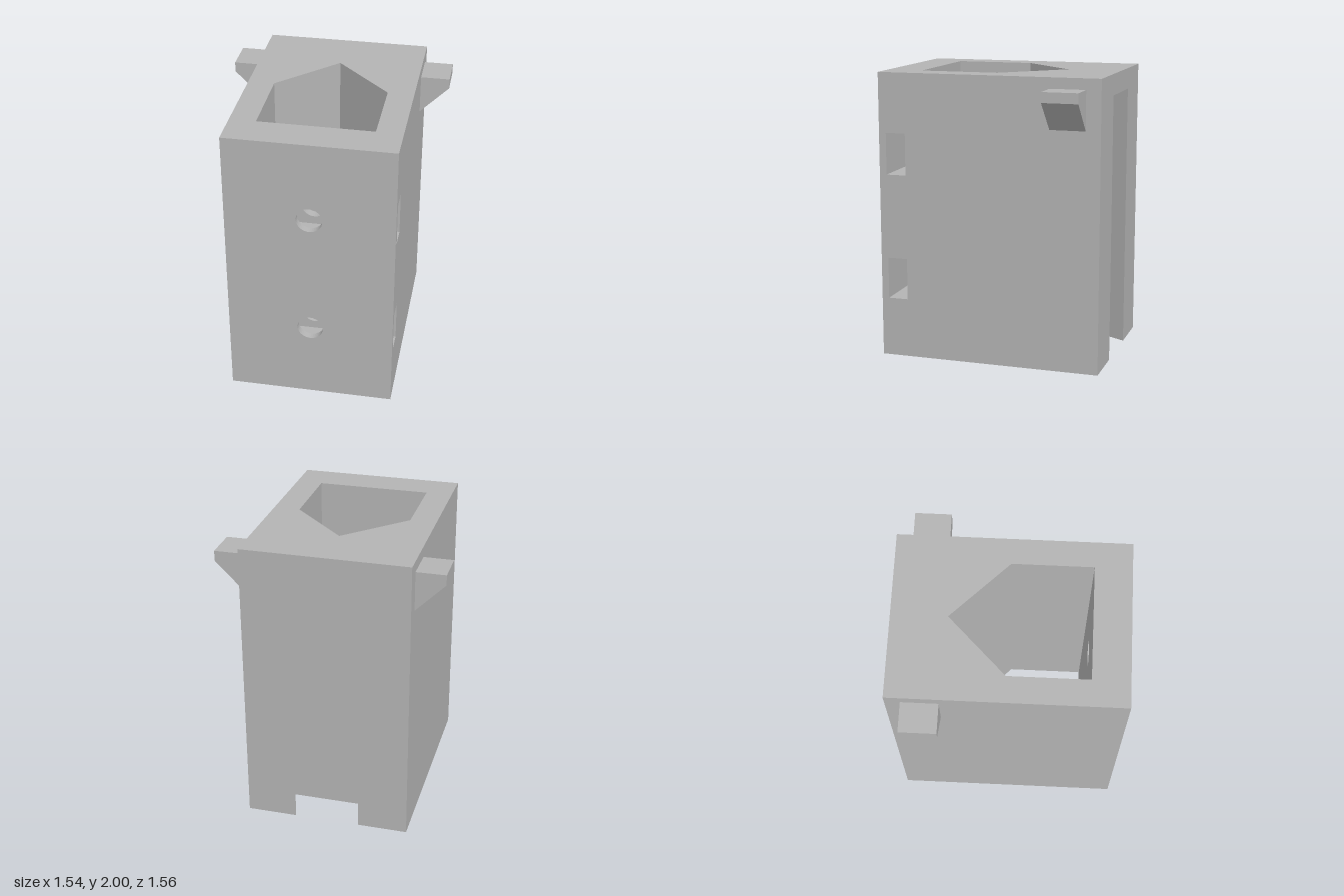
import * as THREE from 'three';
import { mergeGeometries } from 'three/addons/utils/BufferGeometryUtils.js';

const W = 0.57, D = 0.78, H = 2;            // half width, half depth, height
const SLOT_TOP = 1.855, SLOT_Z = -0.535;    // dovetail slot at the back
const BORE_R = 0.088, BORE_Y = [0.56, 1.44];
const PZ0 = 0.59, PZ1 = 0.73, PX = -0.145, PH = 0.145; // side pockets

const V = (x, y, z) => new THREE.Vector3(x, y, z);
const X = V(1, 0, 0), Z = V(0, 0, 1);
const toV2 = (pts) => pts.map(([x, y]) => new THREE.Vector2(x, y));

// Flat panel: 2D outline and holes laid on axes u and v, facing u x v
function panel(origin, u, v, outline, holes = []) {
  const shape = new THREE.Shape(toV2(outline));
  holes.forEach((h) => shape.holes.push(new THREE.Path(toV2(h))));
  const m = new THREE.Matrix4().makeBasis(u, v, u.clone().cross(v)).setPosition(origin);
  return new THREE.ShapeGeometry(shape).applyMatrix4(m);
}

// Rectangular wall from p to q, swept along e
function wall(p, q, e, holes) {
  const d = q.clone().sub(p), w = d.length(), h = e.length();
  return panel(p, d.normalize(), e.clone().normalize(), [[0, 0], [w, 0], [w, h], [0, h]], holes);
}

// Upright walls along a path of [x, z] points
function walls(path, y, h, holes = {}) {
  return path.slice(1).map(([x, z], i) =>
    wall(V(path[i][0], y, path[i][1]), V(x, y, z), V(0, h, 0), holes[i]));
}

const up = (y, pts, holes = []) => {
  const flip = (l) => l.map(([x, z]) => [x, -z]);
  return panel(V(0, y, 0), X, V(0, 0, -1), flip(pts), holes.map(flip));
};
const down = (y, pts, holes) => panel(V(0, y, 0), X, Z, pts, holes);

const circle = (cx, cy, n = 40) => Array.from({ length: n }, (_, i) => {
  const a = -i / n * Math.PI * 2;
  return [cx + Math.cos(a) * BORE_R, cy + Math.sin(a) * BORE_R];
});
const rect = (x0, y0, x1, y1) => [[x0, y0], [x1, y0], [x1, y1], [x0, y1]];

function bodyGeometry() {
  const cavity = [[0.39, 0.53], [-0.39, 0.53], [-0.39, -0.015], [0, -0.405], [0.39, -0.015]];
  const dovetail = [[0.225, -D], [0.36, SLOT_Z], [-0.36, SLOT_Z], [-0.225, -D]];
  const parts = [
    // outer faces
    ...walls([[-W, D], [W, D], [W, -D]], 0, H, {
      0: BORE_Y.map((y) => circle(W, y)),
      1: BORE_Y.map((y) => rect(D - PZ1, y - PH, D - PZ0, y + PH)),
    }),
    ...walls([[-W, -D], [-W, D]], 0, H),
    panel(V(0, 0, -D), V(-1, 0, 0), V(0, 1, 0),
      [[-W, 0], [-0.225, 0], [-0.225, SLOT_TOP], [0.225, SLOT_TOP], [0.225, 0], [W, 0], [W, H], [-W, H]]),
    up(H, rect(-W, -D, W, D), [cavity]),
    down(0, [[W, -D], ...dovetail, [-W, -D], [-W, D], [W, D]], [cavity]),
    // five-sided shaft
    ...walls([...cavity, cavity[0]], 0, H, { 0: BORE_Y.map((y) => circle(0.39, y)) }),
    // dovetail slot
    ...walls(dovetail, 0, SLOT_TOP),
    down(SLOT_TOP, dovetail),
  ];
  for (const y of BORE_Y) {
    // pocket open to the left side
    const floor = rect(PX, PZ0, W, PZ1);
    parts.push(
      ...walls([[W, PZ1], [PX, PZ1], [PX, PZ0], [W, PZ0]], y - PH, 2 * PH,
        { 0: [circle(W, PH)], 2: [circle(-PX, PH)] }),
      up(y - PH, floor), down(y + PH, floor));
    // round bore on both sides of the pocket
    const ring = circle(0, y);
    for (const [z0, z1] of [[0.53, PZ0], [PZ1, D]]) {
      ring.forEach(([ax, ay], i) => {
        const [bx, by] = ring[(i + 1) % ring.length];
        parts.push(wall(V(ax, ay, z0), V(bx, by, z0), V(0, 0, z1 - z0)));
      });
    }
  }
  return mergeGeometries(parts);
}

export function createModel() {
  const grey = new THREE.MeshStandardMaterial({ color: 0xb4b4b4 });
  grey.name = 'grey';
  const group = new THREE.Group();
  group.name = 'slottedBlock';

  const body = new THREE.Mesh(bodyGeometry(), grey);
  body.name = 'body';
  group.add(body);

  // wedge lugs on both sides
  for (const [s, name] of [[1, 'leftLug'], [-1, 'rightLug']]) {
    const shape = new THREE.Shape(toV2(
      [[W, 1.655], [0.77, 1.855], [0.77, 1.925], [W, 1.925]].map(([x, y]) => [s * x, y])));
    const geo = new THREE.ExtrudeGeometry(shape, { depth: 0.246, bevelEnabled: false });
    const lug = new THREE.Mesh(geo.translate(0, 0, -0.678), grey);
    lug.name = name;
    group.add(lug);
  }
  return group;
}
